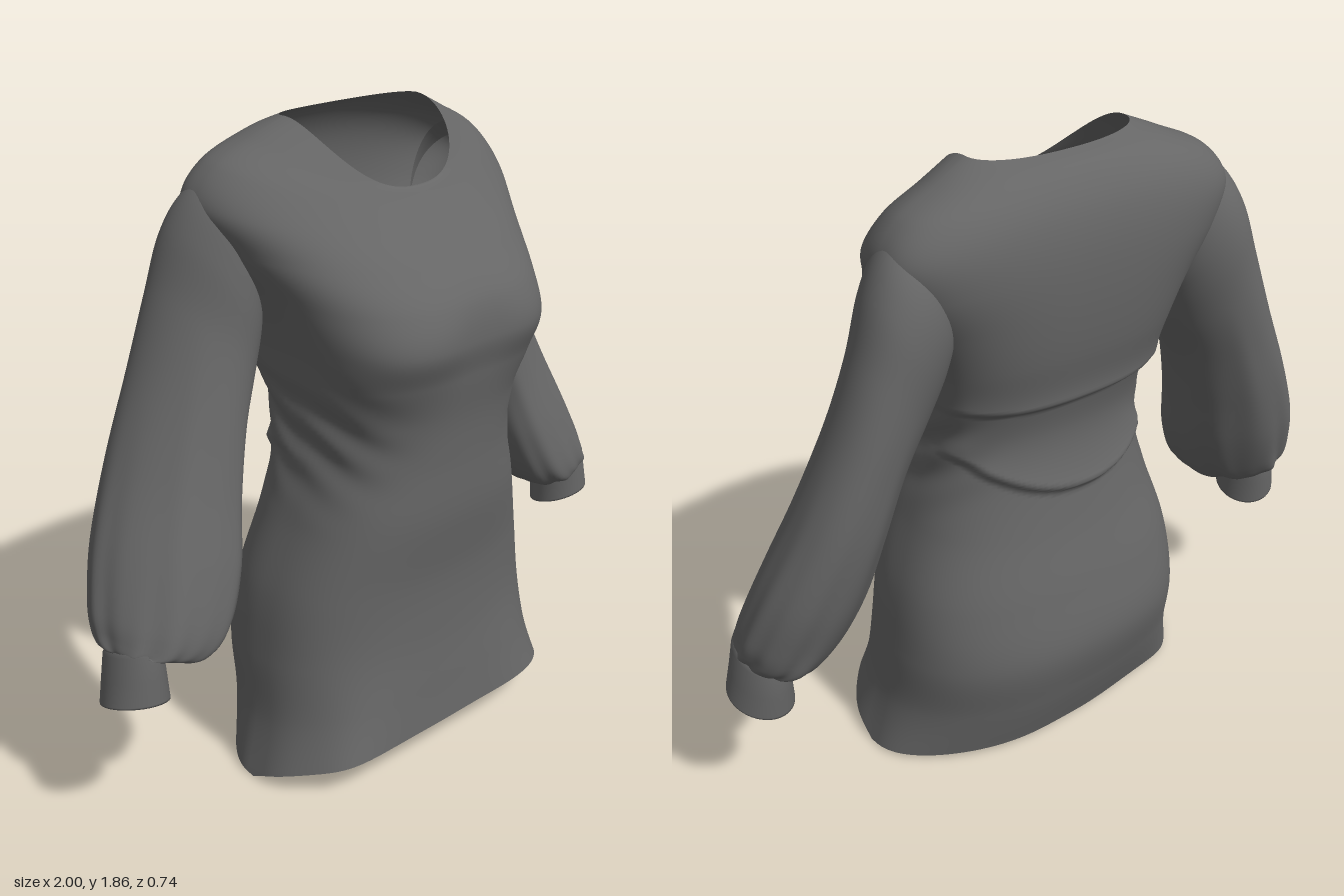
import * as THREE from 'three';

const material = new THREE.MeshStandardMaterial({ color: 0x666666, side: THREE.DoubleSide });

// Resample rows of ring parameters with a Catmull-Rom spline per column
function smoothRows(rows, count) {
  const out = [];
  for (let i = 0; i <= count; i++) {
    const f = (i / count) * (rows.length - 1);
    const k = Math.min(Math.floor(f), rows.length - 2), t = f - k;
    const [a, b, c, d] = [-1, 0, 1, 2].map(o => rows[Math.max(0, Math.min(rows.length - 1, k + o))]);
    out.push(b.map((v, j) => v + 0.5 * t * (c[j] - a[j]
      + t * (2 * a[j] - 5 * v + 4 * c[j] - d[j] + t * (3 * (v - c[j]) + d[j] - a[j])))));
  }
  return out;
}

// Skin closed rings, listed bottom to top; side = -1 mirrors across x
function skin(name, rows, segments, point, side = 1) {
  const pos = [], index = [];
  rows.forEach((row, i) => {
    for (let j = 0; j < segments; j++) {
      const p = point(row, (j / segments) * Math.PI * 2, i / (rows.length - 1));
      pos.push(p[0] * side, p[1], p[2]);
      if (i === rows.length - 1) continue;
      const a = i * segments + j, b = i * segments + (j + 1) % segments;
      const c = a + segments, d = b + segments;
      if (side > 0) index.push(a, c, b, b, c, d);
      else index.push(a, b, c, b, d, c);
    }
  });
  const g = new THREE.BufferGeometry();
  g.setAttribute('position', new THREE.Float32BufferAttribute(pos, 3));
  g.setIndex(index);
  g.computeVertexNormals();
  const mesh = new THREE.Mesh(g, material);
  mesh.name = name;
  return mesh;
}

const power = (v, p) => Math.sign(v) * Math.abs(v) ** p;

// Body rings: half width, front z, back z, side z, front y, side y, back y,
// front corner power, back corner power, height power
const BODY = [
  [0.54, 0.32, -0.27, 0.00, 0.11, 0.00, 0.02, 0.66, 0.75, 0.55],
  [0.50, 0.305, -0.325, 0.00, 0.24, 0.17, 0.18, 0.74, 0.78, 0.8],
  [0.485, 0.29, -0.365, -0.02, 0.40, 0.36, 0.36, 0.80, 0.80, 1.2],
  [0.455, 0.29, -0.335, -0.02, 0.58, 0.56, 0.55, 0.80, 0.80, 1.4],
  [0.39, 0.315, -0.285, 0.00, 0.78, 0.77, 0.75, 0.80, 0.80, 1.4],
  [0.345, 0.32, -0.255, 0.00, 0.95, 0.94, 0.92, 0.80, 0.80, 1.4],
  [0.345, 0.33, -0.25, 0.00, 1.08, 1.07, 1.06, 0.76, 0.80, 1.4],
  [0.37, 0.355, -0.285, -0.02, 1.20, 1.19, 1.20, 0.64, 0.76, 1.4],
  [0.39, 0.385, -0.325, -0.05, 1.30, 1.30, 1.33, 0.60, 0.70, 1.4],
  [0.43, 0.362, -0.345, -0.10, 1.40, 1.42, 1.46, 0.74, 0.68, 1.4],
  [0.495, 0.29, -0.35, -0.15, 1.495, 1.55, 1.59, 0.90, 0.66, 1.4],
  [0.53, 0.21, -0.34, -0.16, 1.58, 1.66, 1.69, 1.0, 0.68, 1.4],
  [0.47, 0.155, -0.315, -0.155, 1.64, 1.755, 1.765, 1.0, 0.74, 1.4],
  [0.35, 0.13, -0.27, -0.14, 1.67, 1.815, 1.825, 0.92, 0.82, 1.4],
  [0.25, 0.12, -0.215, -0.12, 1.675, 1.858, 1.85, 0.80, 0.85, 1.4],
];

// Soft roll of cloth: sharp underside at d = 0, fading upwards
const roll = d => (d > 0 ? Math.exp(-d / 0.09) * Math.min(1, d / 0.025) : 0);

function bodyPoint([w, zf, zb, zs, yf, ys, yb, pf, pb, q], t) {
  const c = Math.cos(t), s = Math.sin(t), p = s > 0 ? pf : pb;
  let x = w * power(c, p);
  const y = ys + ((s > 0 ? yf : yb) - ys) * Math.abs(s) ** q;
  let z = zs + (s > 0 ? zf - zs : zs - zb) * power(s, p);
  // Folds across the small of the back
  const back = Math.max(0, Math.min(1, 0.25 - s * 1.4));
  z -= back * (0.035 * roll(y - 1.16 - 0.12 * x * x) + 0.035 * roll(y - 0.86 - 1.1 * x * x - 0.1 * x));
  // Bunching at the sides of the waist
  const waist = Math.exp(-(((y - 1.04) / 0.14) ** 2));
  x += 0.008 * waist * power(c, 3) * Math.sin(y * 48 + s * 9);
  // Shallow dip between the bust, and waves near the hem
  if (s > 0) z -= 0.018 * Math.exp(-((x / 0.12) ** 2) - ((y - 1.31) / 0.1) ** 2);
  const hem = Math.max(0, 1 - y / 0.45) ** 1.5;
  z += 0.014 * hem * s * Math.cos(5 * t + 0.6);
  x += 0.012 * hem * c * Math.cos(6 * t);
  return [x, y, z];
}

// Sleeve rings: outer x, outer y, inner x, inner y, front z, back z
const SLEEVE = [
  [0.955, 0.575, 0.835, 0.56, 0.035, -0.135],
  [0.965, 0.585, 0.79, 0.515, 0.065, -0.165],
  [0.965, 0.615, 0.715, 0.515, 0.09, -0.20],
  [0.955, 0.68, 0.635, 0.58, 0.095, -0.225],
  [0.905, 0.82, 0.57, 0.72, 0.07, -0.265],
  [0.81, 1.02, 0.53, 0.89, 0.025, -0.295],
  [0.71, 1.24, 0.48, 1.06, -0.01, -0.305],
  [0.635, 1.44, 0.42, 1.19, -0.03, -0.31],
  [0.58, 1.60, 0.385, 1.28, -0.03, -0.315],
  [0.515, 1.70, 0.37, 1.34, -0.035, -0.305],
  [0.43, 1.745, 0.36, 1.38, -0.05, -0.275],
];

const CUFF = [
  [0.985, 0.436, 0.828, 0.402, 0.04, -0.125],
  [0.998, 0.432, 0.816, 0.396, 0.053, -0.14],
  [0.998, 0.437, 0.816, 0.402, 0.053, -0.14],
  [0.982, 0.50, 0.822, 0.48, 0.05, -0.145],
  [0.967, 0.57, 0.828, 0.55, 0.045, -0.145],
  [0.958, 0.582, 0.836, 0.564, 0.036, -0.136],
];

const tubePoint = ([ox, oy, ix, iy, zf, zb], c, s) =>
  [(ox + ix) / 2 + c * (ox - ix) / 2, (oy + iy) / 2 + c * (oy - iy) / 2, (zf + zb) / 2 + s * (zf - zb) / 2];

// Gathers strongest just above the cuff, long folds down the front and back,
// and the fullness turned back on the outside, forward on the inside
function sleevePoint(row, t, v) {
  const gather = Math.min(1, v / 0.08) * Math.max(0, 1 - v / 0.6) ** 1.5;
  const fold = [1.1, 2.3, 4.6].reduce((sum, a) => sum + Math.exp(-(((t - a) / 0.2) ** 2)), 0);
  const pleats = Math.cos(9 * t + 2 * v) * 0.65 + Math.cos(14 * t + 1) * 0.35;
  const k = 1 + 0.09 * gather * pleats + 0.05 * fold * Math.sin(Math.PI * Math.min(1, v / 0.7));
  const [x, y, z] = tubePoint(row, Math.cos(t) * k, Math.sin(t) * k);
  const tilt = 0.025 * Math.max(0, 1 - v / 0.25) * Math.sin(t);
  return [x, y + tilt, z - 0.06 * Math.cos(t) * Math.sin(Math.PI * Math.min(1, v / 0.95))];
}

// Cuff tips up at the front
function cuffPoint(row, t) {
  const [x, y, z] = tubePoint(row, Math.cos(t), Math.sin(t));
  return [x, y + 0.025 * Math.sin(t), z];
}

export function createModel() {
  const model = new THREE.Group();
  model.name = 'tunicDress';
  model.add(skin('dressBody', smoothRows(BODY, 220), 128, bodyPoint));
  for (const [label, side] of [['left', 1], ['right', -1]]) {
    model.add(skin(label + 'Sleeve', smoothRows(SLEEVE, 80), 96, sleevePoint, side));
    model.add(skin(label + 'Cuff', CUFF, 48, cuffPoint, side));
  }
  return model;
}
